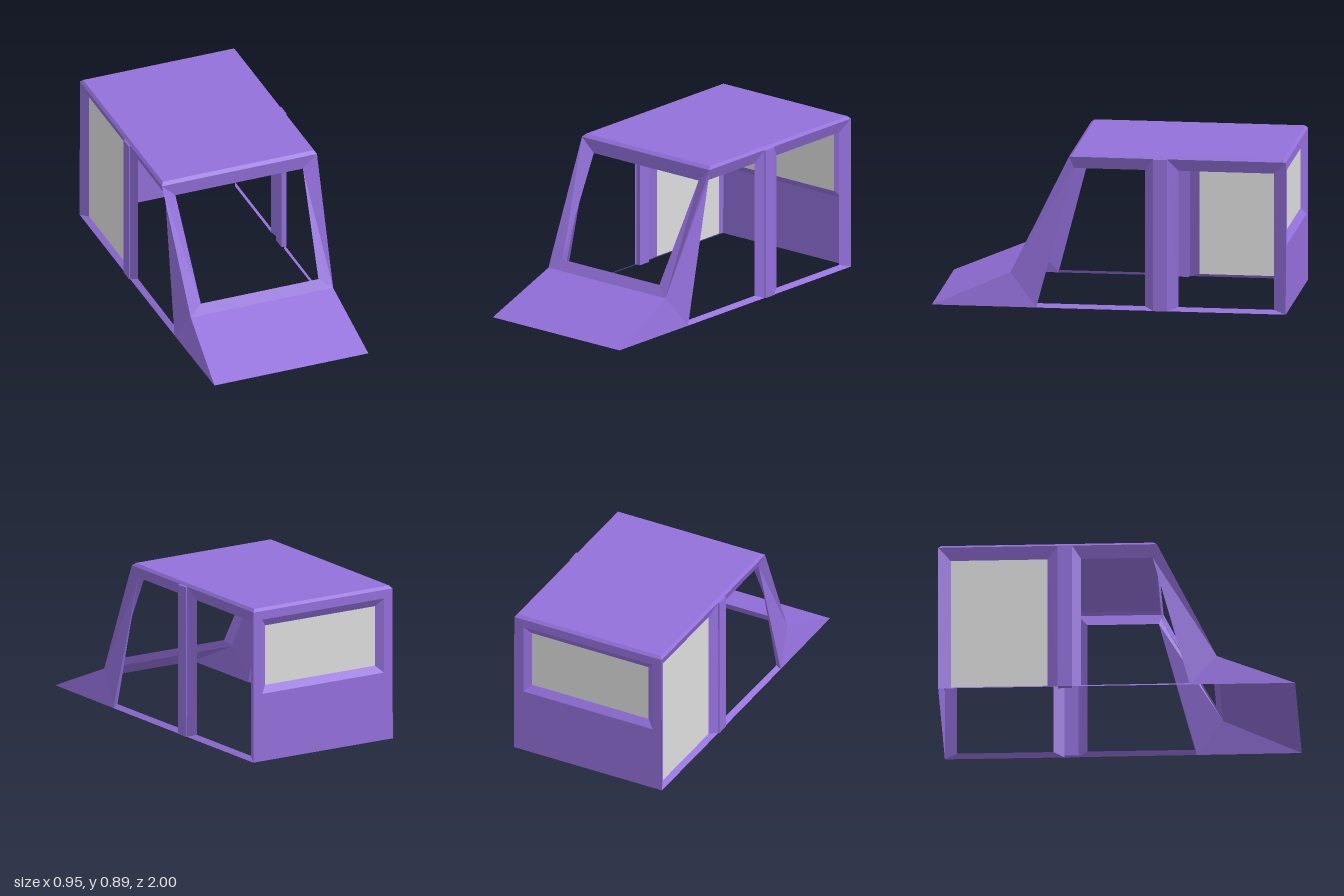
import * as THREE from 'three';

const shell = new THREE.MeshStandardMaterial({ color: 0x9370db, side: THREE.DoubleSide });
shell.name = 'purple shell';
const glass = new THREE.MeshStandardMaterial({ color: 0xdcdcdc, side: THREE.DoubleSide });
glass.name = 'grey glass';

// Thin sheet made of flat polygons, corners counter-clockwise from outside
function sheet(name, polygons, material = shell) {
  const pos = [];
  for (const p of polygons) {
    for (let i = 1; i < p.length - 1; i++) pos.push(...p[0], ...p[i], ...p[i + 1]);
  }
  const geo = new THREE.BufferGeometry();
  geo.setAttribute('position', new THREE.Float32BufferAttribute(pos, 3));
  geo.computeVertexNormals();
  const mesh = new THREE.Mesh(geo, material);
  mesh.name = name;
  return mesh;
}

// Sloping frame between an outer and an inner loop
const ring = (outer, inner) => outer.map((p, i) => {
  const j = (i + 1) % outer.length;
  return [p, outer[j], inner[j], inner[i]];
});

// Mirror polygons to the -x side, keeping them facing outward
const onSide = (s, polygons) =>
  polygons.map(p => (s > 0 ? p : p.map(([x, y, z]) => [-x, y, z]).reverse()));

// Symmetric four-corner loop: half width, y, z for the first and second edge
const loop = (w0, y0, z0, w1, y1, z1) =>
  [[-w0, y0, z0], [w0, y0, z0], [w1, y1, z1], [-w1, y1, z1]];

export function createModel() {
  const group = new THREE.Group();
  group.name = 'vehicleCab';

  // Roof panel with bevelled rim
  const rim = loop(0.468, 0.87, 0.225, 0.468, 0.87, -1);
  const top = loop(0.455, 0.886, 0.205, 0.455, 0.886, -0.985);
  group.add(sheet('roof', [top, ...ring(rim, top)]));

  // Windshield frame and sloping nose
  group.add(sheet('windshieldFrame', ring(
    loop(0.43, 0.19, 0.56, 0.468, 0.87, 0.225),
    loop(0.355, 0.245, 0.525, 0.385, 0.79, 0.22))));
  group.add(sheet('nose', [loop(0.465, 0, 1, 0.43, 0.19, 0.56)]));

  // Rear wall with recessed window
  const wall = loop(0.468, 0.87, -1, 0.47, 0, -1);
  const hole = loop(0.41, 0.82, -1, 0.41, 0.39, -1);
  const pane = loop(0.37, 0.775, -0.97, 0.37, 0.43, -0.97);
  group.add(sheet('rearWall', [...ring(wall, hole), ...ring(hole, pane)]));
  group.add(sheet('rearWindow', [pane], glass));

  // Rear side opening, shared by frame and pane
  const rearOuter = [[0.47, 0, -0.33], [0.47, 0, -1], [0.468, 0.87, -1], [0.468, 0.87, -0.33]];
  const rearInner = [[0.44, 0.02, -0.39], [0.44, 0.02, -0.93], [0.44, 0.8, -0.93], [0.44, 0.8, -0.39]];

  for (const s of [1, -1]) {
    const side = s > 0 ? 'left' : 'right';
    // Corners of the front pillar and door opening
    const knee = [0.43, 0.19, 0.56], roofCorner = [0.468, 0.87, 0.225];
    const foot = [0.468, 0, 0.41], sillEnd = [0.442, 0.02, 0.408], doorTop = [0.44, 0.8, 0.2];

    group.add(sheet(side + 'NoseSide', onSide(s, [[[0.465, 0, 1], foot, knee]])));
    group.add(sheet(side + 'FrontPillar', onSide(s, [
      [knee, foot, doorTop], [knee, doorTop, roofCorner], [foot, sillEnd, doorTop],
    ])));

    // Bevelled sill, door post and header around the door
    const outer = [foot, [0.47, 0, -0.25], [0.468, 0.87, -0.25], roofCorner];
    const inner = [sillEnd, [0.44, 0.02, -0.2], [0.44, 0.8, -0.2], doorTop];
    group.add(sheet(side + 'DoorFrame', onSide(s, ring(outer, inner).slice(0, 3))));
    group.add(sheet(side + 'RearSideFrame', onSide(s, ring(rearOuter, rearInner))));

    // Raised post between the two openings
    const post = new THREE.Mesh(new THREE.BoxGeometry(0.03, 0.867, 0.08), shell);
    post.name = side + 'CenterPost';
    post.position.set(s * 0.461, 0.4335, -0.29);
    group.add(post);
  }

  // Only the right rear opening is glazed
  group.add(sheet('rightRearWindow', onSide(-1, [rearInner]), glass));
  return group;
}
